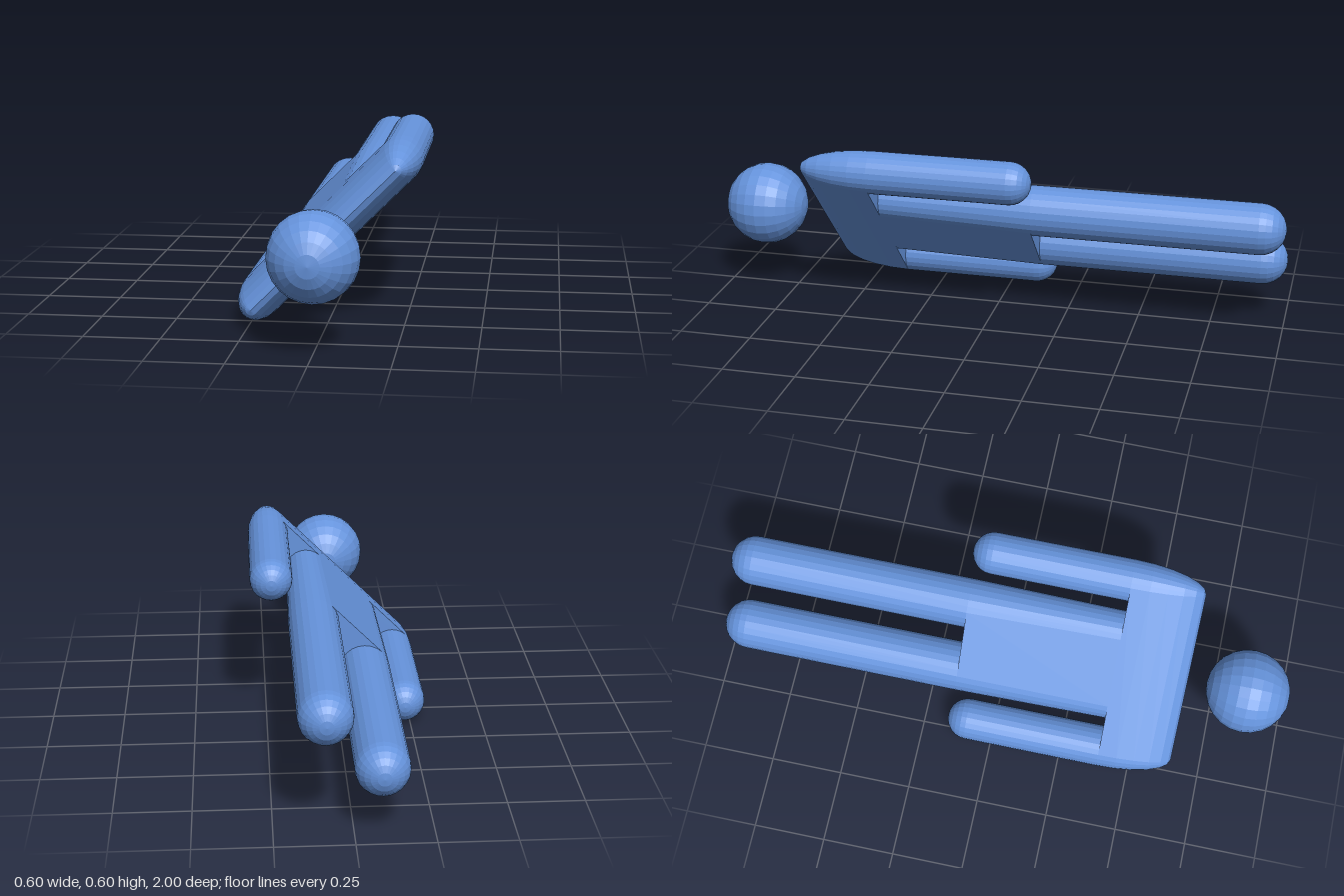
import * as THREE from 'three';

const material = new THREE.MeshStandardMaterial({ color: 0x6694dd, flatShading: true });
const STEPS = 24;

// Outline of a stadium: half length h between end centres along x, end radius r.
function stadium(z, h, r) {
  const pts = [];
  for (let i = 0; i <= STEPS / 2; i++) {
    const a = -Math.PI / 2 + (i * 2 * Math.PI) / STEPS;
    pts.push([h + r * Math.cos(a), r * Math.sin(a), z]);
  }
  return pts.concat(pts.map(([x, y]) => [-x, -y, z]));
}

// Skins stadium sections [z, h, r], listed from low z to high z, and closes both ends.
function loft(name, sections) {
  const rings = sections.map((s) => stadium(...s));
  const pos = [];
  const tri = (a, b, c) => pos.push(...a, ...b, ...c);
  const n = rings[0].length;
  const last = rings.length - 1;
  const low = [0, 0, sections[0][0]];
  const high = [0, 0, sections[last][0]];
  for (let j = 0; j < n; j++) {
    const k = (j + 1) % n;
    for (let i = 0; i < last; i++) {
      const a = rings[i], b = rings[i + 1];
      tri(a[j], a[k], b[k]);
      tri(a[j], b[k], b[j]);
    }
    tri(low, rings[0][k], rings[0][j]);
    tri(high, rings[last][j], rings[last][k]);
  }
  const geo = new THREE.BufferGeometry();
  geo.setAttribute('position', new THREE.Float32BufferAttribute(pos, 3));
  geo.computeVertexNormals();
  const mesh = new THREE.Mesh(geo, material);
  mesh.name = name;
  return mesh;
}

// Round bar with a domed far end at tip.
function limb(name, x, r, tip, root) {
  const sections = [];
  for (let i = 0; i <= 6; i++) {
    const a = (i * Math.PI) / 12;
    sections.push([tip + r - r * Math.cos(a), 0, r * Math.sin(a)]);
  }
  sections.push([root, 0, r]);
  const mesh = loft(name, sections);
  mesh.position.x = x;
  return mesh;
}

export function createModel() {
  const model = new THREE.Group();
  model.name = 'figure';
  const armR = 0.073, legR = 0.087, armX = 0.324, legX = 0.123;
  const hipZ = -0.145, armpitZ = 0.39;

  // Head, with its poles along the body
  const headGeo = new THREE.SphereGeometry(0.145, 24, 12).rotateX(Math.PI / 2);
  const head = new THREE.Mesh(headGeo, material);
  head.name = 'head';
  head.position.z = 0.855;
  model.add(head);

  // Shoulders: an elliptical taper to a thin ridge at the neck
  const shoulder = [];
  for (let i = 0; i <= 6; i++) {
    const a = (i * Math.PI) / 12;
    shoulder.push([armpitZ + 0.255 * Math.sin(a), armX, armR * Math.cos(a)]);
  }
  model.add(loft('shoulders', shoulder));

  // Torso, slightly thicker at the hips
  model.add(loft('torso', [[hipZ, legX, legR], [armpitZ, 0.13, armR]]));

  // Arms and legs
  for (const [side, s] of [['left', 1], ['right', -1]]) {
    model.add(limb(side + 'Arm', s * armX, armR, -0.163, armpitZ));
    model.add(limb(side + 'Leg', s * legX, legR, -1, hipZ));
  }

  // Whole figure is rolled about its long axis
  model.rotation.z = Math.PI / 4;
  model.position.y = 0.303;
  const group = new THREE.Group();
  group.add(model);
  return group;
}
